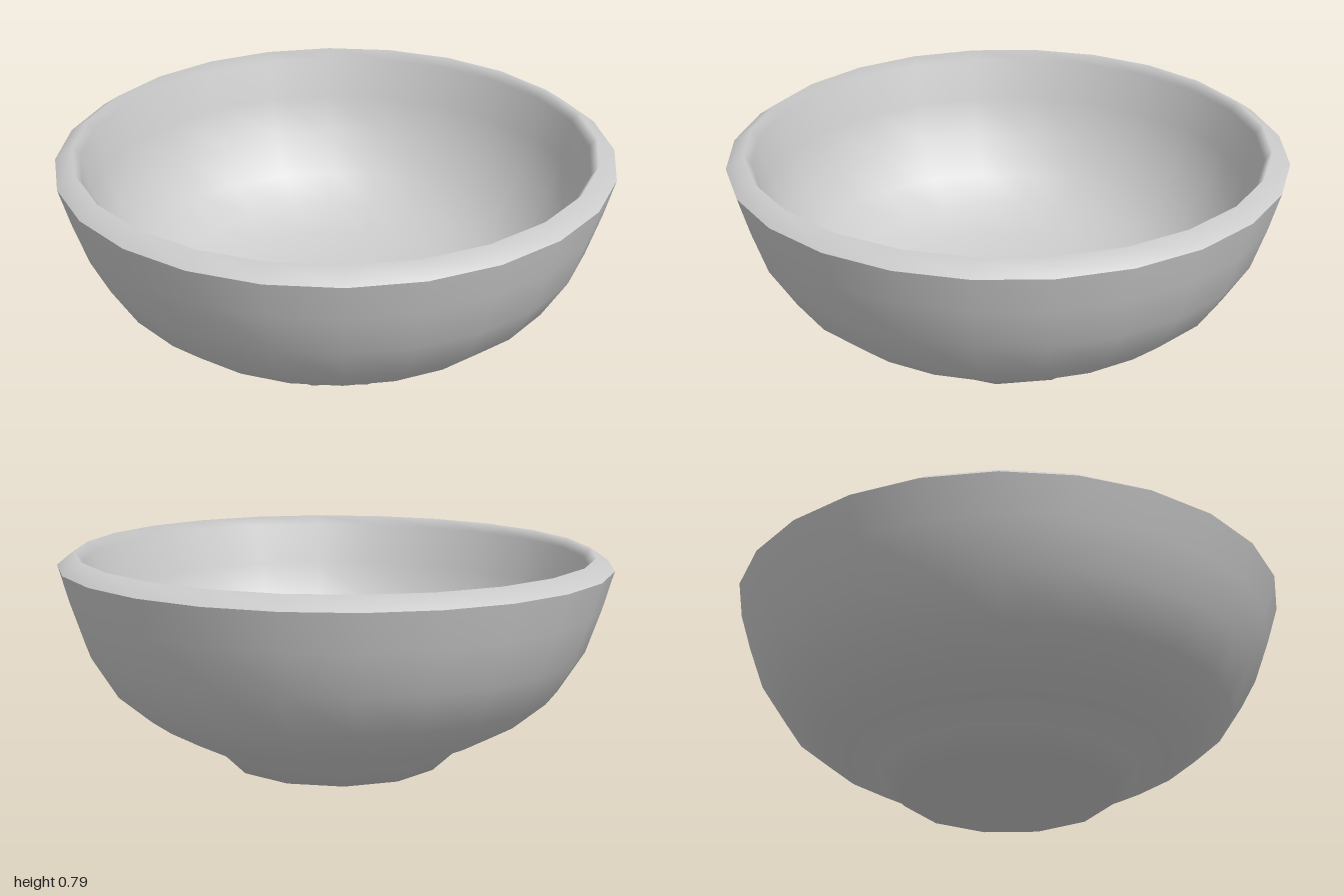
import * as THREE from 'three';

const SIDES = 24;
const STEP = (Math.PI * 2) / SIDES;
const FLAT = 1 / Math.cos(STEP / 2); // half-width across flats -> corner radius

// Profile [half-width, y] turned into a 24-sided shell with flats facing the axes
function turn(name, profile, material) {
  const points = profile.map(([r, y]) => new THREE.Vector2(r * FLAT, y));
  const geometry = new THREE.LatheGeometry(points, SIDES, STEP / 2);
  const mesh = new THREE.Mesh(geometry, material);
  mesh.name = name;
  return mesh;
}

export function createModel() {
  const material = new THREE.MeshStandardMaterial({ color: 0xcccccc });
  const bowl = new THREE.Group();
  bowl.name = 'bowl';

  // Outer wall, from the centre of the base up to the rim edge
  const outerProfile = [
    [0, 0], [0.39, 0], [0.47, 0.075], [0.58, 0.13], [0.69, 0.19],
    [0.81, 0.29], [0.905, 0.44], [0.96, 0.6], [1, 0.738],
  ];
  const outer = turn('outerWallAndFoot', outerProfile, material);

  // The foot has half as many sides: pull every other corner onto its chord
  const position = outer.geometry.attributes.position;
  for (let i = 1; i < SIDES; i += 2) {
    for (let j = 1; j <= 2; j++) {
      const k = i * outerProfile.length + j;
      position.setX(k, position.getX(k) * Math.cos(STEP));
      position.setZ(k, position.getZ(k) * Math.cos(STEP));
    }
  }
  bowl.add(outer);

  // Bevelled rim flowing into the hollow
  const innerProfile = [
    [1, 0.738], [0.935, 0.784], [0.91, 0.75], [0.88, 0.6], [0.83, 0.46],
    [0.74, 0.32], [0.63, 0.23], [0.5, 0.17], [0.3, 0.12], [0, 0.1],
  ];
  bowl.add(turn('rimAndInnerWall', innerProfile, material));

  // Very slight lean of the whole bowl
  bowl.rotation.z = 0.005;
  bowl.position.set(0.003, 0.002, 0);

  const model = new THREE.Group();
  model.add(bowl);
  return model;
}
